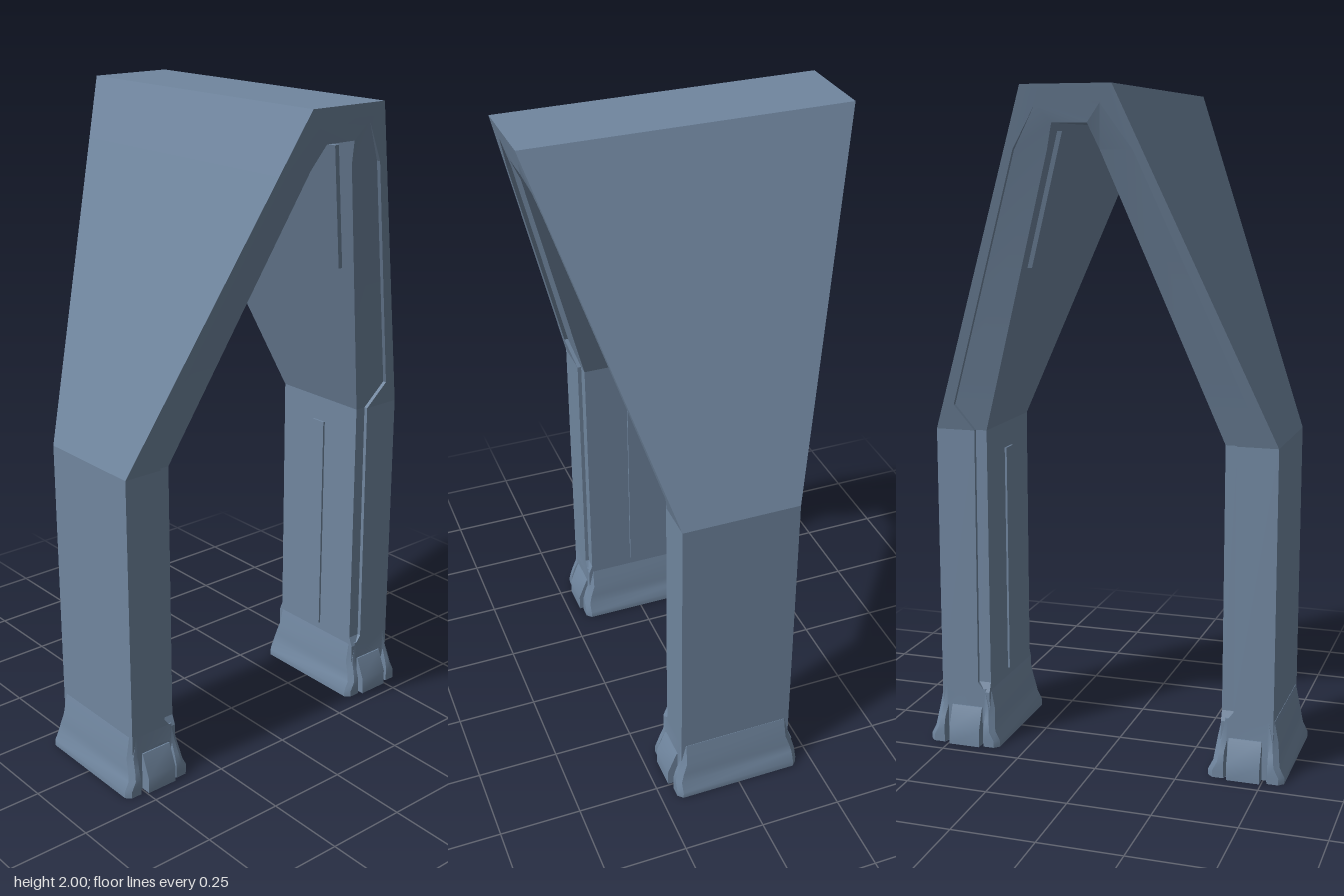
import * as THREE from 'three';
import { toCreasedNormals } from 'three/addons/utils/BufferGeometryUtils.js';

// Skin a run of rings (arrays of [x, y, z]) and close both ends
function loft(rings, crease = 0.5) {
  const p = [];
  const n = rings[0].length;
  const tri = (a, b, c) => p.push(...a, ...b, ...c);
  for (let i = 0; i < rings.length - 1; i++) {
    for (let j = 0; j < n; j++) {
      const k = (j + 1) % n;
      const [a, b, c, d] = [rings[i][j], rings[i][k], rings[i + 1][k], rings[i + 1][j]];
      tri(a, b, c);
      tri(a, c, d);
    }
  }
  const centre = (r) => [0, 1, 2].map((k) => r.reduce((s, v) => s + v[k], 0) / n);
  const first = rings[0], last = rings[rings.length - 1];
  for (let j = 0; j < n; j++) {
    const k = (j + 1) % n;
    tri(centre(first), first[k], first[j]);
    tri(centre(last), last[j], last[k]);
  }
  const g = new THREE.BufferGeometry();
  g.setAttribute('position', new THREE.Float32BufferAttribute(p, 3));
  return toCreasedNormals(g, crease);
}

// Half width of the arch and depth of its inner slope at a height
const halfWidth = (y) => 0.178 + 0.297 * Math.max(0, y - 1);
const innerZ = (y) => 0.37 - Math.max(0, y - 1) * 0.3556;

export function createModel() {
  const model = new THREE.Group();
  const blueGrey = new THREE.MeshStandardMaterial({ color: 0x70869f });
  blueGrey.name = 'blueGrey';
  const add = (parent, name, geometry) => {
    const mesh = new THREE.Mesh(geometry, blueGrey);
    mesh.name = name;
    parent.add(mesh);
    return mesh;
  };

  // Arch stations: outer [z, y], step line [z, y], inner [z, y], step depth
  const half = [
    [[0.528, 0.02], [0.385, 0.02], [0.37, 0.02], 0],
    [[0.528, 0.17], [0.385, 0.17], [0.37, 0.17], 0],
    [[0.528, 0.2], [0.408, 0.2], [0.37, 0.2], 0.012],
    [[0.528, 1], [0.405, 1], [0.37, 1], 0.012],
    [[0.496, 1.08], [0.46, 1.08], [innerZ(1.08), 1.08], 0.012],
    [[0.196, 1.83], [0.17, 1.83], [innerZ(1.83), 1.83], 0.012],
    [[0.128, 2], [0.09, 1.95], [0.05, 1.9], 0],
  ];
  const mirrored = half.map(([o, l, i, d]) => [[-o[0], o[1]], [-l[0], l[1]], [-i[0], i[1]], d]).reverse();
  const archRings = [...half, ...mirrored].map(([o, l, i, d]) => {
    const at = ([z, y], side, inset) => [side * (halfWidth(y) - inset), y, z];
    return [
      at(o, -1, 0), at(o, 1, 0), at(l, 1, 0), at(l, 1, d),
      at(i, 1, d), at(i, -1, d), at(l, -1, d), at(l, -1, 0),
    ];
  });
  add(model, 'arch', loft(archRings, 0.15));

  // Foot sections: y, half depth, half width
  const footRings = [
    [0, 0.115, 0.2], [0.02, 0.115, 0.2], [0.05, 0.1, 0.2],
    [0.08, 0.096, 0.192], [0.115, 0.092, 0.18], [0.18, 0.079, 0.178],
  ].map(([y, hz, hx]) => {
    const g = Math.max(0, hx - 0.178); // depth of the notches beside the tab
    const quarter = [[hx - 0.015, hz], [hx, hz - 0.015], [hx, 0.066], [hx - g, 0.06]];
    const right = [...quarter, ...quarter.map(([x, z]) => [x, -z]).reverse()];
    const ring = [...right, ...right.map(([x, z]) => [-x, -z])];
    return ring.map(([x, z]) => [x, y, z + 0.45]);
  });
  const footGeometry = loft(footRings, 0.6);

  // Raised panel under the slope, flaring with the arch
  const panelGeometry = loft([1.5, 1.88].map((y) => {
    const w = halfWidth(y) - 0.06, z = innerZ(y);
    return [[-w, y, z + 0.003], [w, y, z + 0.003], [w, y, z - 0.014], [-w, y, z - 0.014]];
  }));

  // Side tab of the foot, tapered towards its top
  const tabGeometry = loft([[0, 0.21], [0.05, 0.21], [0.12, 0.182]].map(([y, x]) =>
    [[-x, y, 0.495], [x, y, 0.495], [x, y, 0.395], [-x, y, 0.395]]));

  for (const [name, angle] of [['front', 0], ['back', Math.PI]]) {
    const leg = new THREE.Group();
    leg.name = name + 'LegDetails';
    leg.rotation.y = angle;
    add(leg, 'foot', footGeometry);
    add(leg, 'footTabs', tabGeometry);
    add(leg, 'innerPanel', panelGeometry);
    add(leg, 'innerStrip', new THREE.BoxGeometry(0.05, 0.72, 0.009)).position.set(0, 0.56, 0.368);
    model.add(leg);
  }
  return model;
}
